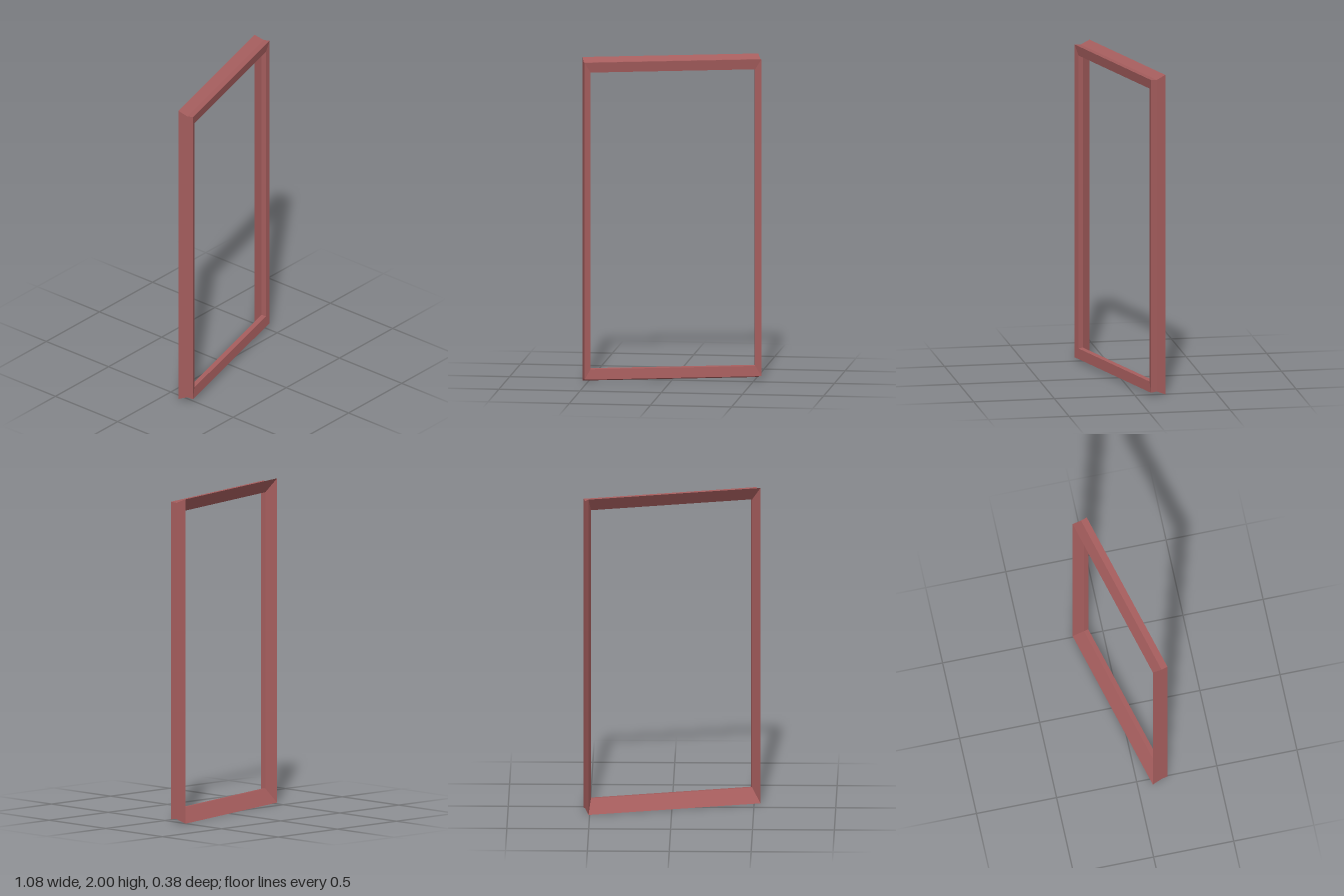
import * as THREE from 'three';

// Moulding cross-section, from the sharp back outer edge round to the inner lip.
// Insets are measured from the outermost rectangle; z is the depth.
const profile = [
  { z: -0.050, rail: 0.000, left: 0.006, right: 0.000 }, // back outer edge
  { z: 0.010, rail: 0.025, left: 0.001, right: 0.000 }, // groove on the outside
  { z: 0.050, rail: 0.021, left: 0.000, right: 0.000 }, // front outer edge
  { z: 0.042, rail: 0.083, left: 0.037, right: 0.036 }, // front of the lip
  { z: 0.012, rail: 0.086, left: 0.037, right: 0.036 }, // rear of the lip
];
const HALF_WIDTH = 0.544, HEIGHT = 2;

// Mitred cross-section at one corner of the frame
function cornerSection(sx, top) {
  return profile.map((p) => new THREE.Vector3(
    sx > 0 ? HALF_WIDTH - p.left : -HALF_WIDTH + p.right,
    top ? HEIGHT - p.rail : p.rail,
    p.z,
  ));
}

// One frame member, swept between two mitred sections with flat faces
function member(name, a, b, material) {
  const points = [];
  for (let k = 0; k < a.length; k++) {
    const n = (k + 1) % a.length;
    points.push(a[k], b[k], b[n], a[k], b[n], a[n]);
  }
  const geometry = new THREE.BufferGeometry().setFromPoints(points);
  geometry.computeVertexNormals();
  const mesh = new THREE.Mesh(geometry, material);
  mesh.name = name;
  return mesh;
}

export function createModel() {
  const material = new THREE.MeshStandardMaterial({ color: 0xa55d5d, flatShading: true });
  const frame = new THREE.Group();
  frame.name = 'frame';

  // Corners anticlockwise from the lower right
  const corners = [
    cornerSection(-1, false), cornerSection(1, false),
    cornerSection(1, true), cornerSection(-1, true),
  ];
  ['bottomRail', 'leftStile', 'topRail', 'rightStile'].forEach((name, i) => {
    frame.add(member(name, corners[i], corners[(i + 1) % 4], material));
  });

  // The frame stands turned about the vertical
  frame.rotation.y = THREE.MathUtils.degToRad(15);
  const model = new THREE.Group();
  model.name = 'rectangularFrame';
  model.add(frame);
  return model;
}
